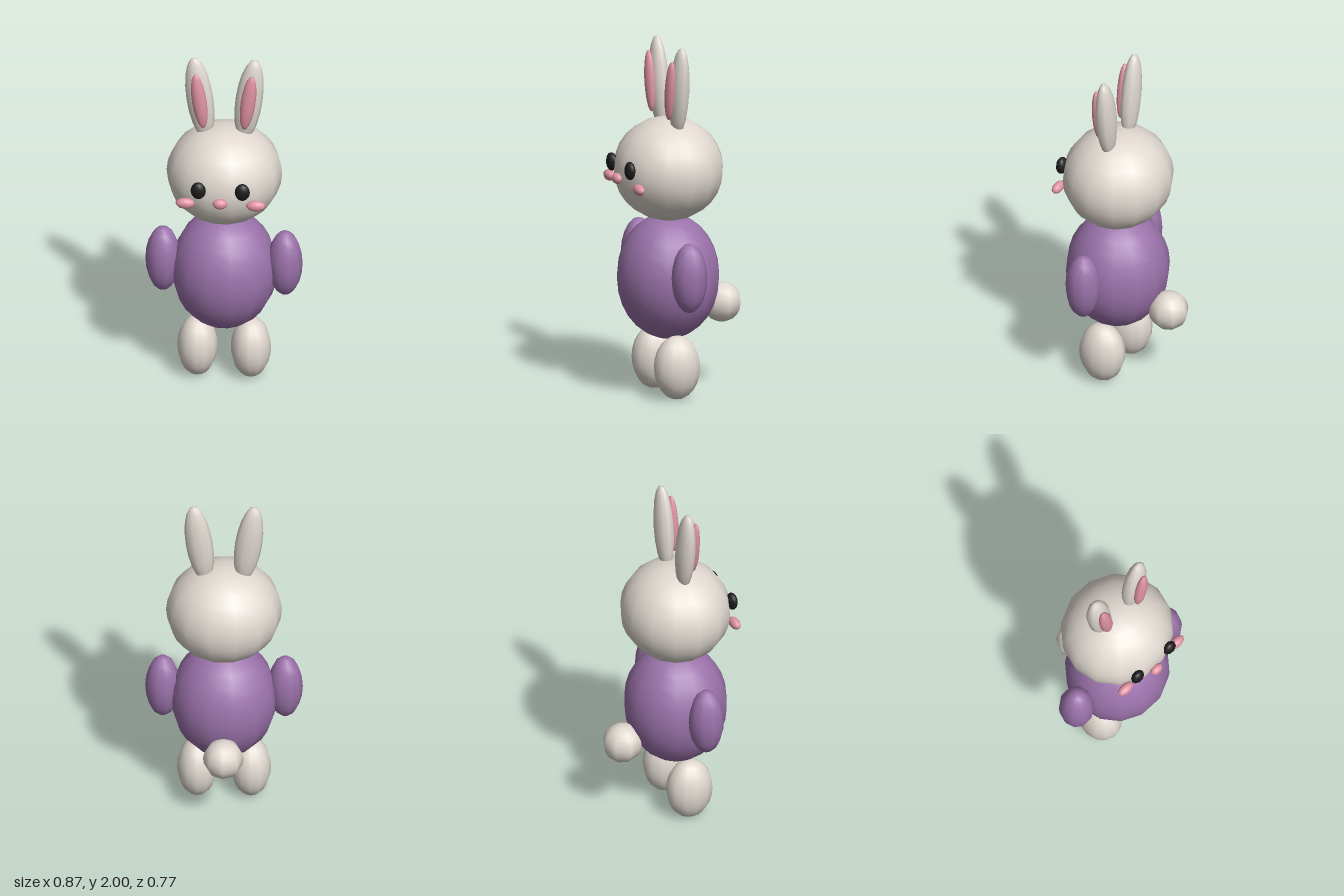
import * as THREE from 'three';

const paint = (name, color) => {
  const m = new THREE.MeshStandardMaterial({ color });
  m.name = name;
  return m;
};

export function createModel() {
  const rabbit = new THREE.Group();
  rabbit.name = 'rabbit';

  const fur = paint('creamFur', 0xe0d8d0);
  const purple = paint('purpleCloth', 0x9b72aa);
  const pink = paint('pink', 0xe093a4);
  const black = paint('black', 0x1c1c1c);

  // Smooth low-poly ellipsoid: centre, radii, segment count, tilt about z
  function ellipsoid(name, material, [x, y, z], [rx, ry, rz], segments = 10, tilt = 0) {
    const geometry = new THREE.SphereGeometry(1, segments, Math.max(segments, 10));
    const mesh = new THREE.Mesh(geometry, material);
    mesh.name = name;
    mesh.scale.set(rx, ry, rz);
    mesh.position.set(x, y, z);
    mesh.rotation.z = tilt;
    rabbit.add(mesh);
  }

  // Trunk, head, tail and nose
  ellipsoid('body', purple, [0, 0.67, 0.05], [0.295, 0.352, 0.287], 14);
  ellipsoid('head', fur, [0, 1.28, 0.048], [0.32, 0.29, 0.305], 14);
  ellipsoid('tail', fur, [0, 0.49, -0.275], [0.112, 0.112, 0.112], 8);
  ellipsoid('nose', pink, [0, 1.253, 0.36], [0.041, 0.03, 0.027]);

  // Mirrored pairs
  for (const [side, s] of [['left', 1], ['right', -1]]) {
    ellipsoid(side + 'Leg', fur, [s * 0.148, 0.182, 0.063], [0.112, 0.18, 0.133], 12);
    ellipsoid(side + 'Arm', purple, [s * 0.338, 0.732, 0.075], [0.097, 0.198, 0.099]);
    ellipsoid(side + 'Ear', fur, [s * 0.136, 1.741, 0.044], [0.075, 0.26, 0.053], 10, -s * 0.13);
    ellipsoid(side + 'InnerEar', pink, [s * 0.135, 1.752, 0.098], [0.041, 0.172, 0.03], 10, -s * 0.13);
    ellipsoid(side + 'Eye', black, [s * 0.122, 1.32, 0.337], [0.042, 0.051, 0.029]);
    ellipsoid(side + 'Cheek', pink, [s * 0.195, 1.225, 0.317], [0.054, 0.031, 0.028]);
  }

  return rabbit;
}
